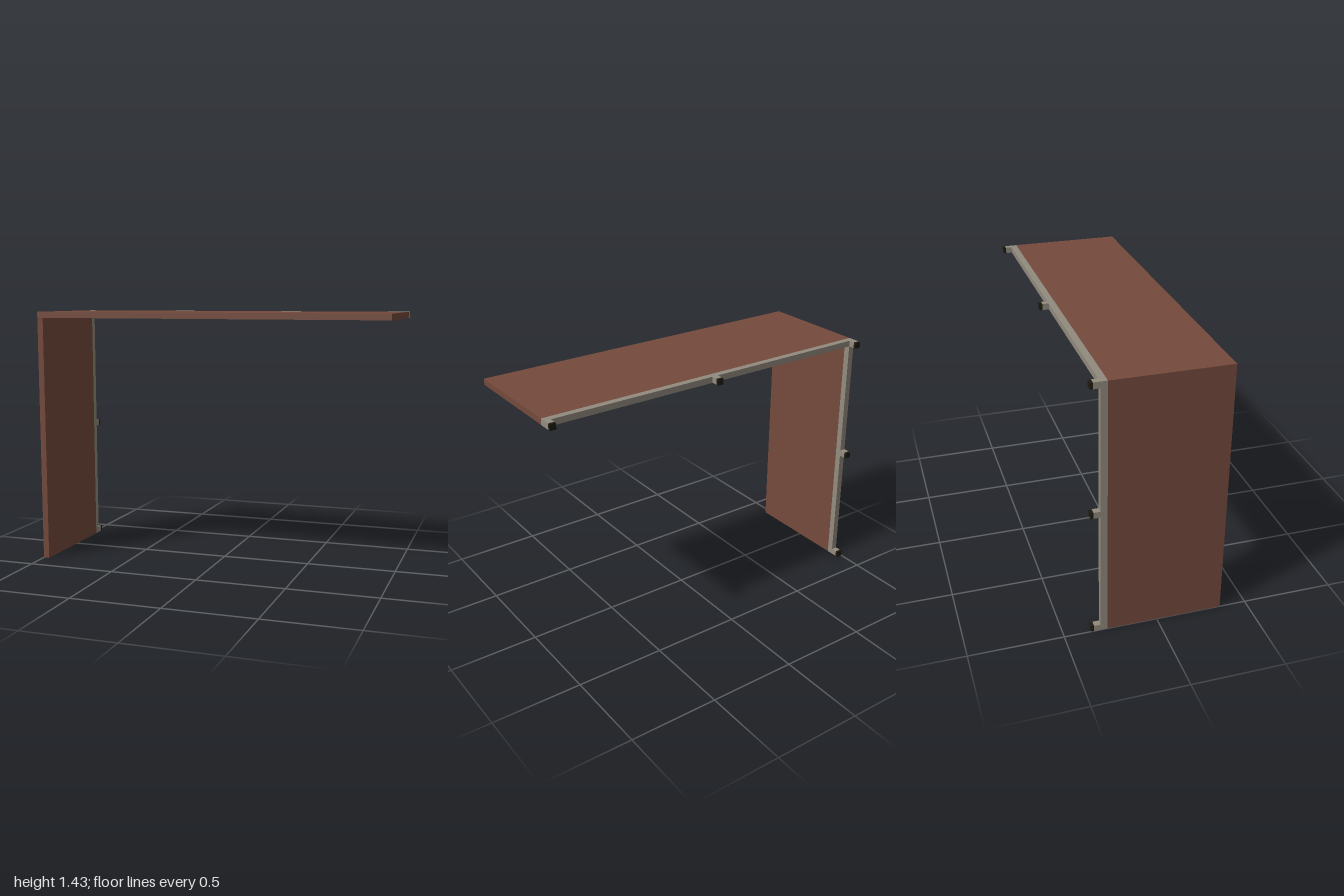
import * as THREE from 'three';

export function createModel() {
  const model = new THREE.Group();
  const wood = new THREE.MeshStandardMaterial({ color: 0x74493c });
  wood.name = 'brown wood';
  const metal = new THREE.MeshStandardMaterial({ color: 0x928b7e });
  metal.name = 'warm grey metal';
  const rubber = new THREE.MeshStandardMaterial({ color: 0x1e1b10 });
  rubber.name = 'black rubber';

  const H = 1.43, T = 0.034;                 // overall height, board thickness
  const FRONT = 0.356, SEAM = -0.27, RAIL = -0.306, TIP = -0.341, BACK = -0.356;

  // Box given by its low and high limits on each axis
  function box(name, material, [x0, x1], [y0, y1], [z0, z1]) {
    const mesh = new THREE.Mesh(new THREE.BoxGeometry(x1 - x0, y1 - y0, z1 - z0), material);
    mesh.position.set((x0 + x1) / 2, (y0 + y1) / 2, (z0 + z1) / 2);
    mesh.name = name;
    model.add(mesh);
  }

  // Top board and side board, each with a rail along its back edge
  for (const [part, material, z] of [['Board', wood, [SEAM, FRONT]], ['Rail', metal, [RAIL, SEAM]]]) {
    box('top' + part, material, [-1, 1], [H - T, H], z);
    box('side' + part, material, [-1, -1 + T], [0, H - T], z);
  }

  // Wall pegs with black end pads, along the top and down the side
  const h = T / 2;
  const pegs = [[-1 + h, H - h], [0, H - h], [1 - h, H - h], [-1 + h, H / 2], [-1 + h, h]];
  for (const [x, y] of pegs) {
    const xs = [x - h, x + h], ys = [y - h, y + h];
    box('wallPeg', metal, xs, ys, [TIP, RAIL]);
    box('pegPad', rubber, xs, ys, [BACK, TIP]);
  }
  return model;
}
